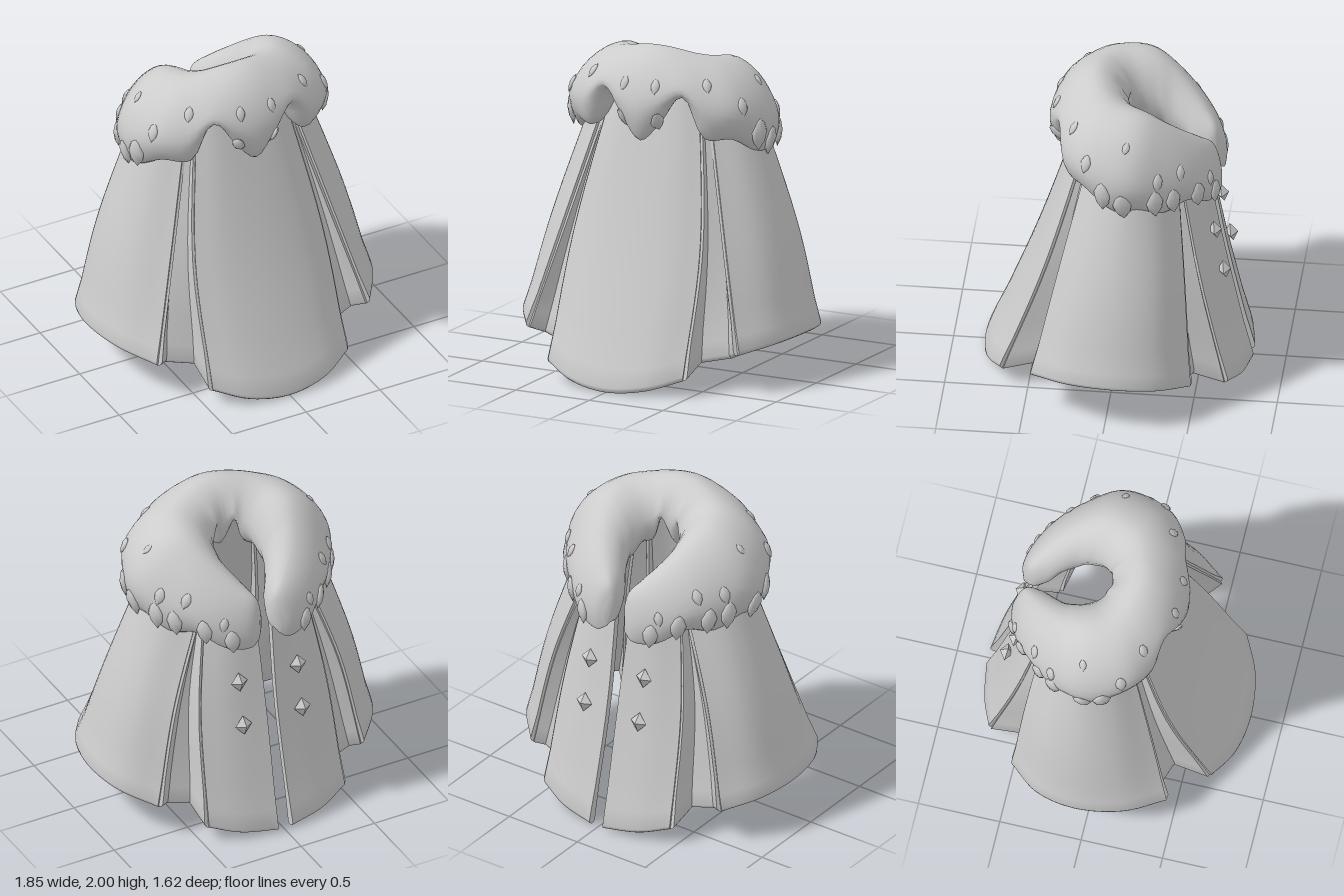
import * as THREE from 'three';
import { toCreasedNormals } from 'three/addons/utils/BufferGeometryUtils.js';

const cloth = new THREE.MeshStandardMaterial({ color: 0xcccccc });
cloth.name = 'pale grey';

const V = (p) => new THREE.Vector3(...p);
const spline = (pts, closed = false) => new THREE.CatmullRomCurve3(pts, closed, 'centripetal');

// Solid skin over a row of closed loops, with both ends capped
function skin(rings, crease) {
  const R = rings[0].length, last = rings.length - 1, pos = [], idx = [];
  rings.forEach((ring) => ring.forEach((p) => pos.push(p.x, p.y, p.z)));
  for (let i = 0; i < last; i++) {
    for (let r = 0; r < R; r++) {
      const s = (r + 1) % R, a = i * R + r, b = i * R + s;
      idx.push(a, b, b + R, a, b + R, a + R);
    }
  }
  for (let k = 0; k + 1 < R - 1 - k; k++) {
    const a = k, b = k + 1, c = R - 2 - k, d = R - 1 - k, e = last * R;
    idx.push(b, a, d, e + a, e + b, e + d);
    if (b !== c) idx.push(b, d, c, e + b, e + c, e + d);
  }
  const g = new THREE.BufferGeometry();
  g.setAttribute('position', new THREE.Float32BufferAttribute(pos, 3));
  g.setIndex(idx);
  return toCreasedNormals(g, crease);
}

// Cloth columns [top, middle, hem], from front centre round to the back slit
const K = {
  A: [[0, 1.8, 0.17], [0, 0.8, 0.49], [0, 0.025, 0.785]],
  B: [[0.18, 1.8, 0.16], [0.26, 0.8, 0.465], [0.25, 0.055, 0.75]],
  C: [[0.27, 1.8, 0.12], [0.425, 0.85, 0.39], [0.45, 0.12, 0.65]],
  D: [[0.28, 1.78, 0.11], [0.415, 0.85, 0.3], [0.44, 0.18, 0.43]],
  F: [[0.33, 1.7, 0.1], [0.52, 0.85, 0.24], [0.63, 0.22, 0.37]],
  G: [[0.34, 1.65, 0.12], [0.55, 0.85, 0.31], [0.705, 0.26, 0.445]],
  H: [[0.48, 1.58, 0.03], [0.71, 0.85, 0.14], [0.845, 0.3, 0.22]],
  I: [[0.54, 1.55, -0.1], [0.77, 0.85, -0.07], [0.9, 0.315, -0.06]],
  J: [[0.5, 1.5, -0.25], [0.72, 0.85, -0.28], [0.845, 0.29, -0.3]],
  K: [[0.36, 1.45, -0.38], [0.56, 0.85, -0.44], [0.685, 0.23, -0.485]],
  L: [[0.35, 1.45, -0.36], [0.5, 0.85, -0.39], [0.62, 0.21, -0.44]],
  M: [[0.34, 1.45, -0.36], [0.43, 0.85, -0.4], [0.46, 0.18, -0.48]],
  N: [[0.33, 1.42, -0.4], [0.42, 0.8, -0.52], [0.455, 0.12, -0.675]],
  O: [[0.2, 1.42, -0.48], [0.25, 0.8, -0.585], [0.27, 0.065, -0.745]],
  P: [[0.05, 1.42, -0.51], [0.035, 0.8, -0.62], [0.045, 0.035, -0.785]],
};
const mirror = (col) => col.map(([x, y, z]) => [-x, y, z]);

// Thick sheet through the columns, with a rounded hem
function sheet(cols) {
  const n = 14, m = (cols.length - 1) * 6, t = 0.016;
  const rows = [0, 1, 2].map((k) => spline(cols.map((c) => V(c[k]))));
  const at = (u, v) => spline(rows.map((r) => r.getPoint(u))).getPoint(v);
  const rings = [];
  for (let i = 0; i <= m; i++) {
    const u = i / m, outer = [], inner = [], lip = [];
    for (let j = 0; j <= n; j++) {
      const v = j / n, p = at(u, v);
      const du = at(Math.min(1, u + 0.02), v).sub(at(Math.max(0, u - 0.02), v));
      const dv = at(u, Math.min(1, v + 0.02)).sub(at(u, Math.max(0, v - 0.02))).normalize();
      const out = dv.clone().cross(du).normalize();
      // the cloth swells into a soft lip at the hem
      const w = t + 0.008 * THREE.MathUtils.smoothstep(v, 0.85, 1);
      outer.push(p.clone().addScaledVector(out, w));
      inner.unshift(p.clone().addScaledVector(out, -w));
      if (j === n) {
        for (const a of [0.25, 0.5, 0.75]) {
          lip.push(p.clone().addScaledVector(out, w * Math.cos(a * Math.PI))
            .addScaledVector(dv, w * Math.sin(a * Math.PI)));
        }
      }
    }
    rings.push([...outer, ...lip, ...inner]);
  }
  return skin(rings, 0.9);
}

// Fur collar stations: outer x, z, inner x, z, top, base height, scallop of the lower edge
const stations = [
  [0, 0.42, 0, -0.05, 2, 1.5, -0.04],
  [0.14, 0.4, 0.03, -0.053, 1.995, 1.5, 0.08],
  [0.28, 0.355, 0.057, -0.063, 1.98, 1.5, 0.24],
  [0.42, 0.3, 0.09, -0.085, 1.96, 1.49, 0],
  [0.57, 0.19, 0.12, -0.125, 1.94, 1.46, 0.02],
  [0.66, -0.02, 0.14, -0.2, 1.92, 1.4, -0.03],
  [0.655, -0.16, 0.14, -0.24, 1.89, 1.37, 0.02],
  [0.57, -0.32, 0.13, -0.3, 1.82, 1.34, -0.01],
  [0.46, -0.46, 0.09, -0.38, 1.73, 1.31, 0.05],
  [0.3, -0.58, 0.045, -0.45, 1.64, 1.28, -0.01],
  [0.14, -0.63, 0.025, -0.52, 1.56, 1.26, 0],
  [0.07, -0.61, 0.03, -0.56, 1.46, 1.3, 0],
];
// Collar section: fraction from outer to inner, fraction of height
const section = [
  [0.85, 0.22], [1, 0.52], [0.86, 0.86], [0.62, 1], [0.38, 0.93],
  [0.14, 0.7], [0, 0.38], [0.04, 0.12], [0.13, 0], [0.35, 0.1],
];

// Collar surface lines, each running from the right end round to the left end
const sides = 30;
function collarLines() {
  const flip = stations.slice(1).reverse().map(([a, b, c, ...rest]) => [-a, b, -c, ...rest]);
  const loops = [...flip, ...stations].map(([xo, zo, xi, zi, top, base, scallop]) => {
    const loop = spline(section.map(([s, h]) => {
      const low = scallop * (1 - h) ** 2, f = s + Math.max(0, low) * 0.45 * (1 - s);
      return V([xo + (xi - xo) * f, base + (top - base) * h + low, zo + (zi - zo) * f]);
    }), true);
    return Array.from({ length: sides }, (_, r) => loop.getPoint(r / sides));
  });
  return loops[0].map((_, r) => spline(loops.map((l) => l[r])));
}

export function createModel() {
  const group = new THREE.Group();
  const add = (name, geometry) => {
    const mesh = new THREE.Mesh(geometry, cloth);
    mesh.name = name;
    group.add(mesh);
    return mesh;
  };

  // Cloth panels and the recessed pleats between them
  add('frontPanel', sheet([mirror(K.C), mirror(K.B), K.A, K.B, K.C]));
  const halves = {
    FrontPleatWall: 'CD', FrontPleat: 'DF', FrontSideFold: 'FG', SidePanel: 'GHIJK',
    BackSideFold: 'KL', BackPleat: 'LM', BackPleatWall: 'MN', BackPanel: 'NOP',
  };
  for (const [name, keys] of Object.entries(halves)) {
    const cols = [...keys].map((k) => K[k]);
    add('left' + name, sheet(cols));
    add('right' + name, sheet(cols.map(mirror).reverse()));
  }

  // Fur collar
  const lines = collarLines(), steps = 88;
  add('furCollar', skin(Array.from({ length: steps + 1 },
    (_, i) => lines.map((l) => l.getPoint(i / steps))), 1.2));

  // Leaf-shaped locks lying on the fur: station, place on the section (0-29), length, lift
  const leaf = new THREE.LatheGeometry([[0, -0.5], [0.16, -0.2], [0.2, 0.08], [0.12, 0.36], [0, 0.5]]
    .map(([x, y]) => new THREE.Vector2(x, y)), 8);
  const locks = [
    [0.8, 16, 0.1, 0], [3.1, 15, 0.1, 0], [4.2, 17, 0.12, 0], [5.3, 14, 0.08, 0],
    [6.8, 17, 0.12, 0], [7.7, 16, 0.11, 0], [9, 17, 0.1, 0],
    [0.9, 22, 0.15, 0], [4.7, 20, 0.2, 0.15], [5.4, 21, 0.2, 0.1], [6.7, 20, 0.19, 0.15],
    [7.4, 20, 0.18, 0.15], [8.4, 20, 0.18, 0.15], [9.3, 20, 0.17, 0.1],
  ];
  for (const side of [1, -1]) {
    for (const [k, r, len, lift] of locks) {
      const u = 0.5 + side * k / (2 * (stations.length - 1));
      const down = lines[r + 1].getPoint(u).sub(lines[r - 1].getPoint(u)).normalize();
      const out = down.clone().cross(lines[r].getTangent(u)).normalize();
      down.addScaledVector(out, lift).normalize();
      const across = down.clone().cross(out).normalize();
      const lock = add('furLock', leaf);
      lock.quaternion.setFromRotationMatrix(new THREE.Matrix4().makeBasis(
        across, down.clone().negate(), across.clone().cross(down).negate()));
      lock.position.copy(lines[r].getPoint(u));
      lock.scale.set(len * 1.4, len, len * 0.7);
    }
    // Faceted studs down the back opening
    for (const [y, z] of [[1.02, -0.595], [0.74, -0.65]]) {
      const stud = add('backStud', new THREE.OctahedronGeometry(1));
      stud.scale.set(0.056, 0.062, 0.04);
      stud.position.set(0.2 * side, y, z);
      stud.rotation.x = 0.18;
    }
  }
  return group;
}
